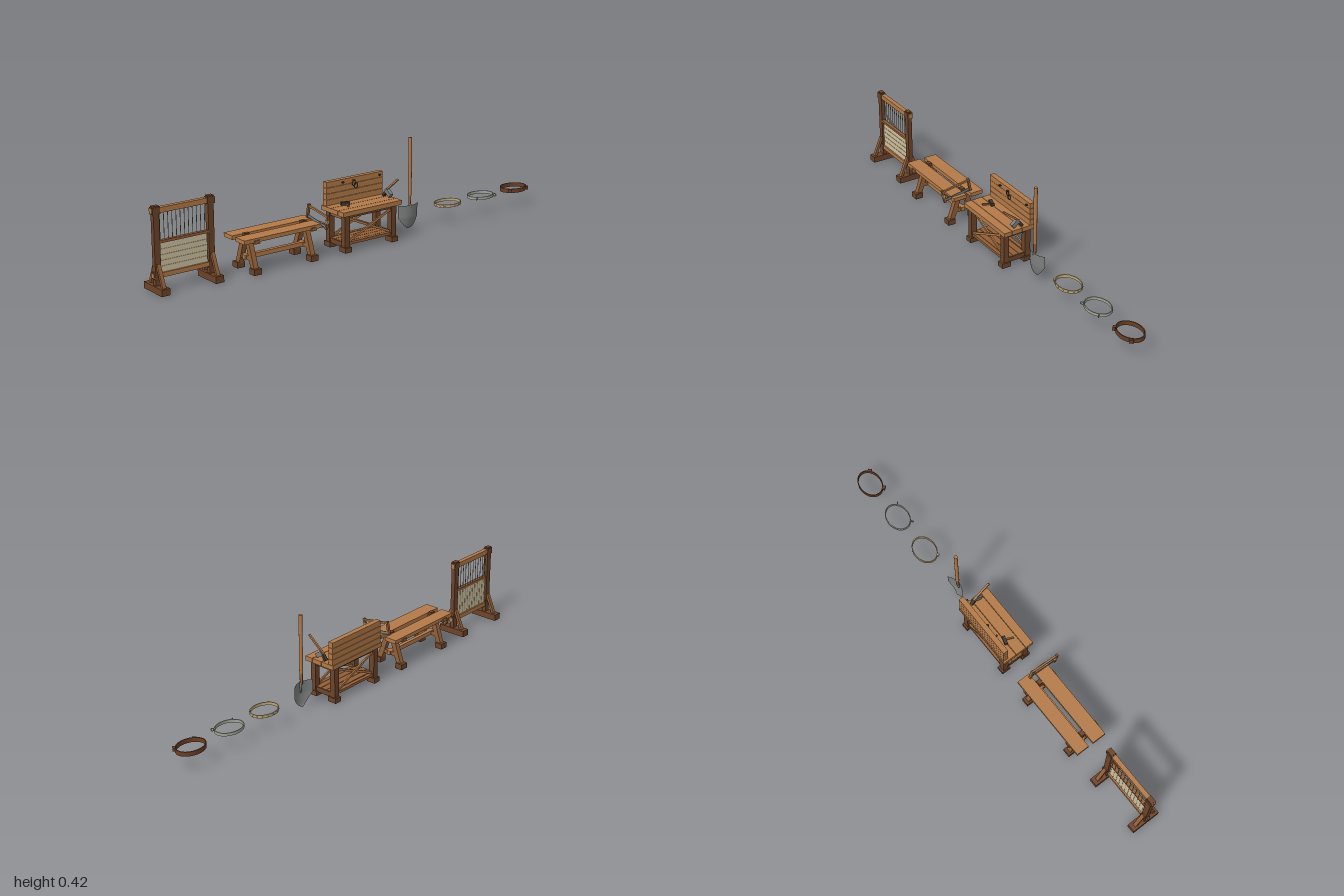
import * as THREE from 'three';

const paint = (name, color, side = THREE.FrontSide) => {
  const m = new THREE.MeshStandardMaterial({ color, side });
  m.name = name;
  return m;
};

export function createModel() {
  const wood = paint('lightWood', 0xb37a48);
  const midWood = paint('midWood', 0x925f37);
  const dark = paint('darkWood', 0x6c442a);
  const leather = paint('leather', 0x6a3f26);
  const cloth = paint('cloth', 0xcfc2a2);
  const thread = paint('thread', 0x9a8c70);
  const bone = paint('bone', 0xbfa878);
  const steel = paint('steel', 0xa3a596);
  const blade = paint('bladeMetal', 0x7b7f7c, THREE.DoubleSide);
  const iron = paint('iron', 0x3c3835);

  const root = new THREE.Group();
  root.name = 'workshopSet';
  const group = (name) => {
    const g = new THREE.Group();
    g.name = name;
    root.add(g);
    return g;
  };
  const put = (g, name, geo, mat, x, y, z) => {
    const m = new THREE.Mesh(geo, mat);
    m.name = name;
    m.position.set(x, y, z);
    g.add(m);
    return m;
  };
  // box given by its min and max on each axis
  const box = (g, name, mat, x0, x1, y0, y1, z0, z1) =>
    put(g, name, new THREE.BoxGeometry(x1 - x0, y1 - y0, z1 - z0), mat, (x0 + x1) / 2, (y0 + y1) / 2, (z0 + z1) / 2);
  // square bar between two points
  const bar = (g, name, mat, a, b, w, h = w) => {
    const p = new THREE.Vector3(...a), q = new THREE.Vector3(...b);
    const c = p.clone().add(q).multiplyScalar(0.5);
    const m = put(g, name, new THREE.BoxGeometry(w, h, p.distanceTo(q)), mat, c.x, c.y, c.z);
    m.lookAt(q);
    return m;
  };

  // ---- Weaving loom
  const loom = group('loom');
  const lz = -0.024;
  for (const x of [-0.978, -0.731]) {
    box(loom, 'loomFoot', dark, x - 0.019, x + 0.019, 0, 0.028, -0.095, 0.039);
    box(loom, 'loomPost', dark, x - 0.013, x + 0.013, 0.028, 0.348, lz - 0.01, lz + 0.01);
    for (const s of [-1, 1])
      bar(loom, 'loomBrace', midWood, [x, 0.02, lz + s * 0.05], [x, 0.115, lz + s * 0.01], 0.016, 0.012);
    for (const y of [0.068, 0.329])
      box(loom, 'beamCap', dark, x - 0.017, x + 0.017, y - 0.014, y + 0.014, lz - 0.0125, lz + 0.0125);
  }
  box(loom, 'topBeam', wood, -0.998, -0.711, 0.318, 0.34, lz - 0.01, lz + 0.01);
  box(loom, 'bottomBeam', wood, -0.998, -0.711, 0.058, 0.077, lz - 0.01, lz + 0.01);
  box(loom, 'heddleBar', midWood, -0.967, -0.742, 0.197, 0.208, lz - 0.006, lz + 0.01);
  box(loom, 'wovenCloth', cloth, -0.962, -0.748, 0.077, 0.197, lz - 0.003, lz + 0.003);
  for (let i = 1; i < 5; i++)
    box(loom, 'clothStripe', bone, -0.962, -0.748, 0.077 + i * 0.023, 0.08 + i * 0.023, lz + 0.003, lz + 0.0045);
  for (let i = 0; i < 12; i++) {
    const x = -0.957 + i * 0.0185;
    box(loom, 'warpThread', thread, x - 0.001, x + 0.001, 0.075, 0.32, lz - 0.0038, lz - 0.0018);
  }

  // ---- Sawing bench
  const bench = group('bench');
  box(bench, 'benchPlankBack', wood, -0.62, -0.22, 0.137, 0.154, -0.098, -0.038);
  box(bench, 'benchPlankFront', wood, -0.62, -0.22, 0.137, 0.154, -0.015, 0.05);
  for (const x of [-0.56, -0.277]) {
    box(bench, 'benchCrossbeam', midWood, x - 0.013, x + 0.013, 0.131, 0.146, -0.102, 0.054);
    box(bench, 'benchPeg', dark, x - 0.011, x + 0.011, 0.14, 0.159, -0.036, -0.017);
    for (const s of [-1, 1]) {
      bar(bench, 'benchLeg', midWood, [x, 0.01, -0.024 + s * 0.058], [x, 0.133, -0.024 + s * 0.016], 0.022, 0.024);
      box(bench, 'benchFoot', dark, x - 0.018, x + 0.018, 0, 0.025, -0.024 + s * 0.06 - 0.018, -0.024 + s * 0.06 + 0.018);
    }
    box(bench, 'benchTie', midWood, x - 0.009, x + 0.009, 0.05, 0.068, -0.065, 0.017);
  }
  box(bench, 'benchStretcher', wood, -0.575, -0.262, 0.05, 0.069, -0.033, -0.015);

  // ---- Frame saw resting on the bench end
  const saw = group('frameSaw');
  const sx = -0.239;
  bar(saw, 'sawFrontHandle', midWood, [sx, 0.198, 0.096], [sx, 0.138, 0.083], 0.011, 0.01);
  bar(saw, 'sawBackHandle', midWood, [sx, 0.22, -0.034], [sx, 0.16, -0.046], 0.011, 0.01);
  bar(saw, 'sawTopRod', wood, [sx, 0.191, 0.098], [sx, 0.212, -0.036], 0.008, 0.008);
  bar(saw, 'sawGrip', bone, [sx, 0.178, 0.0915], [sx, 0.164, 0.0885], 0.013, 0.012);
  bar(saw, 'sawBlade', blade, [sx, 0.148, 0.083], [sx, 0.168, -0.044], 0.003, 0.011);
  for (let i = 0; i < 18; i++) {
    const t = (i + 0.5) / 18;
    const tooth = put(saw, 'sawTooth', new THREE.ConeGeometry(0.004, 0.005, 4), blade, sx, 0.1405 + 0.02 * t, 0.083 - 0.127 * t);
    tooth.rotation.x = Math.PI;
    tooth.scale.x = 0.35;
  }

  // ---- Workbench with a plank back
  const table = group('workbench');
  for (const [z0, z1] of [[0.018, 0.055], [-0.033, 0.016], [-0.098, -0.035]])
    box(table, 'tablePlank', wood, -0.128, 0.187, 0.16, 0.18, z0, z1);
  for (let i = 0; i < 4; i++)
    box(table, 'backPlank', wood, -0.12, 0.185, 0.18 + i * 0.026, 0.2045 + i * 0.026, -0.095, -0.072);
  for (const x of [-0.098, 0.153]) {
    for (const z of [0.031, -0.076]) {
      box(table, 'tableLeg', dark, x - 0.013, x + 0.013, 0.02, 0.16, z - 0.013, z + 0.013);
      box(table, 'tableFoot', dark, x - 0.017, x + 0.017, 0, 0.022, z - 0.021, z + 0.021);
    }
    box(table, 'sideRail', dark, x - 0.009, x + 0.009, 0.018, 0.04, -0.063, 0.018);
    box(table, 'sideApron', midWood, x - 0.009, x + 0.009, 0.14, 0.16, -0.063, 0.018);
  }
  for (const z of [0.031, -0.076]) {
    box(table, 'apron', dark, -0.085, 0.14, 0.147, 0.16, z - 0.008, z + 0.008);
    box(table, 'lowerRail', midWood, -0.085, 0.14, 0.03, 0.042, z - 0.008, z + 0.008);
    bar(table, 'crossBrace', wood, [-0.087, 0.044, z + 0.003], [0.142, 0.144, z + 0.003], 0.007, 0.01);
    bar(table, 'crossBrace', wood, [-0.087, 0.144, z - 0.003], [0.142, 0.044, z - 0.003], 0.007, 0.01);
  }
  for (let i = 0; i < 3; i++)
    box(table, 'shelfPlank', midWood, -0.105, 0.16, 0.034, 0.042, -0.064 + i * 0.029, -0.037 + i * 0.029);

  // ---- Tools on the workbench
  const tools = group('benchTools');
  bar(tools, 'hammerHandle', wood, [0.168, 0.273, 0.05], [0.168, 0.208, -0.03], 0.008, 0.008);
  bar(tools, 'hammerHead', blade, [0.168, 0.191, 0.006], [0.168, 0.212, -0.024], 0.016, 0.02);
  bar(tools, 'hammerPeen', iron, [0.168, 0.205, -0.026], [0.168, 0.182, -0.044], 0.014, 0.011);
  bar(tools, 'malletHandle', midWood, [-0.047, 0.186, -0.03], [-0.062, 0.186, 0.004], 0.007, 0.007);
  bar(tools, 'malletHead', iron, [-0.068, 0.188, -0.04], [-0.032, 0.188, -0.029], 0.014, 0.014);
  for (const [x, y] of [[0.024, 0.257], [0.035, 0.245]]) {
    const ring = put(tools, 'hangingRing', new THREE.TorusGeometry(0.009, 0.0016, 6, 20), iron, x, y, -0.068);
    ring.scale.y = 1.3;
  }
  for (const x of [-0.035, 0.024, 0.165])
    box(tools, 'wallHook', iron, x - 0.004, x + 0.004, 0.267, 0.272, -0.072, -0.063);

  // ---- Shovel
  const shovel = group('shovel');
  const hx = 0.297, hz = -0.022;
  put(shovel, 'shovelHandle', new THREE.CylinderGeometry(0.008, 0.008, 0.26, 12), wood, hx, 0.295, hz);
  const neck = put(shovel, 'shovelNeck', new THREE.CylinderGeometry(0.008, 0.007, 0.05, 12), midWood, hx, 0.143, hz);
  neck.scale.x = 0.65;
  put(shovel, 'shovelSocket', new THREE.CylinderGeometry(0.007, 0.003, 0.05, 10), blade, hx, 0.1, hz + 0.003);
  const plate = new THREE.PlaneGeometry(2, 1, 12, 14);
  const pos = plate.attributes.position;
  for (let i = 0; i < pos.count; i++) {
    const u = pos.getX(i), v = pos.getY(i) + 0.5;
    const half = 0.055 * (v > 0.5 ? 1 : Math.pow(v / 0.5, 0.62));
    const x = u * half;
    pos.setXYZ(i, x, 0.013 + 0.109 * v, -0.03 + 0.016 * Math.min(1, Math.sqrt(v / 0.5)) - 7 * x * x);
  }
  plate.computeVertexNormals();
  put(shovel, 'shovelBlade', plate, blade, hx, 0, 0);

  // ---- Three collars: oval bands with end loops
  const collar = (name, mat, cx, h, t) => {
    const g = group(name);
    const shape = new THREE.Shape().absellipse(0, 0, 0.067, 0.051, 0, Math.PI * 2);
    shape.holes.push(new THREE.Path().absellipse(0, 0, 0.067 - t, 0.051 - t, 0, Math.PI * 2));
    const geo = new THREE.ExtrudeGeometry(shape, { depth: h, bevelEnabled: false, curveSegments: 32 });
    geo.rotateX(-Math.PI / 2);
    put(g, 'band', geo, mat, cx, 0.088 - h / 2, -0.031);
    return g;
  };
  // place a small part on a band at an angle, 0 = +x, quarter turn = front
  const around = (g, name, geo, mat, cx, a, out = 0) => {
    const m = put(g, name, geo, mat, cx + Math.cos(a) * (0.067 + out), 0.088, -0.031 + Math.sin(a) * (0.051 + out));
    m.rotation.y = -a;
  };
  const c1 = collar('boneCollar', bone, 0.526, 0.013, 0.004);
  const c2 = collar('steelCollar', steel, 0.724, 0.013, 0.004);
  const c3 = collar('leatherCollar', leather, 0.93, 0.019, 0.004);
  for (let i = 0; i < 16; i++)
    around(c1, 'bead', new THREE.SphereGeometry(0.0022, 8, 6), bone, 0.526, (i / 16) * Math.PI * 2);
  around(c1, 'clasp', new THREE.BoxGeometry(0.007, 0.012, 0.01), bone, 0.526, 2.5, 0.003);
  for (const a of [0.72, 2.42]) {
    around(c2, 'sideLoop', new THREE.TorusGeometry(0.006, 0.002, 6, 14), steel, 0.724, a, 0.006);
    around(c3, 'sideBuckle', new THREE.BoxGeometry(0.01, 0.014, 0.018), leather, 0.93, a, 0.005);
  }
  return root;
}
